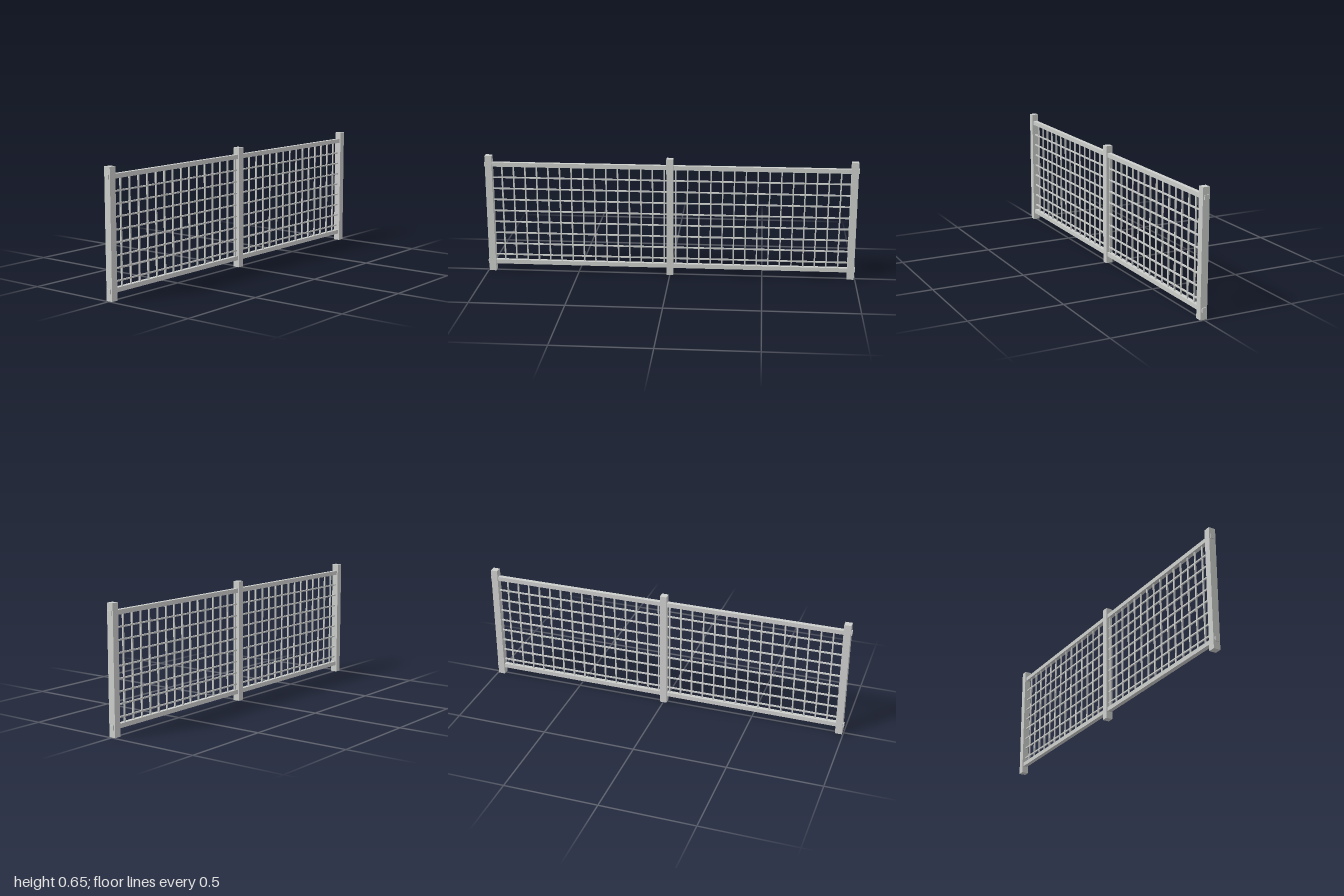
import * as THREE from 'three';

export function createModel() {
  const fence = new THREE.Group();
  fence.name = 'meshFence';
  const steel = new THREE.MeshStandardMaterial({ name: 'galvanised light grey', color: 0xcdcfcd });

  const bar = (name, w, h, d, x, y) => {
    const mesh = new THREE.Mesh(new THREE.BoxGeometry(w, h, d), steel);
    mesh.name = name;
    mesh.position.set(x, y, 0);
    fence.add(mesh);
  };

  // Three square posts
  for (const x of [-0.976, 0, 0.976]) bar('post', 0.037, 0.65, 0.037, x, 0.325);

  // Top and bottom rails run through the posts and poke out slightly
  const bottom = 0.05, top = 0.601;
  for (const y of [bottom, top]) bar('rail', 2, 0.023, 0.023, 0, y);

  // Wire grid
  const pitch = 0.0625, wire = 0.0075;
  for (let i = -15; i < 15; i++) {
    bar('verticalWire', wire, top - bottom, wire, (i + 0.5) * pitch, (top + bottom) / 2);
  }
  for (let j = 0; j < 8; j++) {
    bar('horizontalWire', 1.95, wire, wire, 0, 0.0905 + j * pitch);
  }
  return fence;
}
